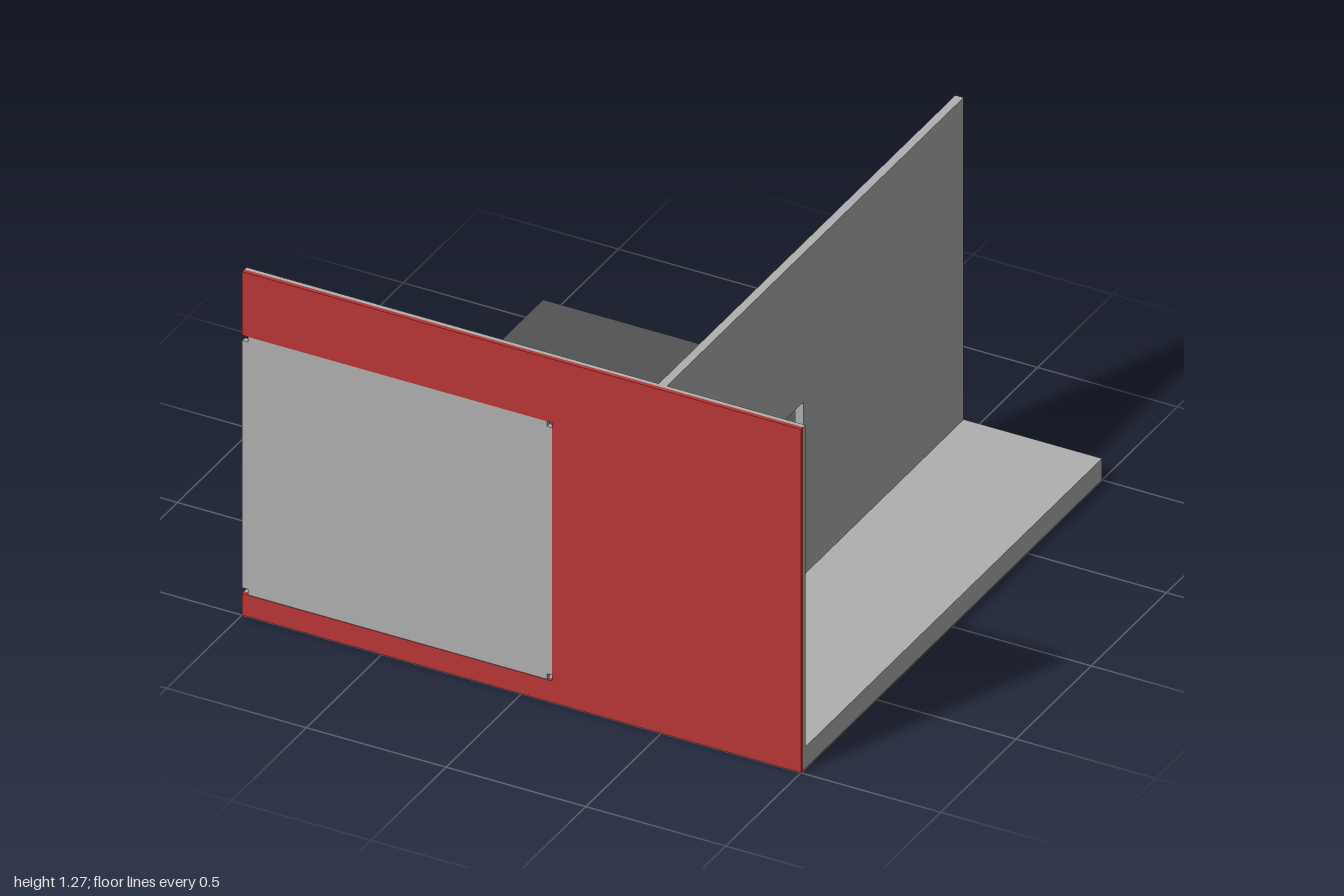
import * as THREE from 'three';

const material = (name, color) => {
  const m = new THREE.MeshStandardMaterial({ color });
  m.name = name;
  return m;
};

const outline = (points) => new THREE.Shape(points.map(([x, y]) => new THREE.Vector2(x, y)));
const rect = (x0, y0, x1, y1) => outline([[x0, y0], [x1, y0], [x1, y1], [x0, y1]]);

// Closed path through the points with softened corners
function roundedPath(points, r) {
  const path = new THREE.Path();
  const pts = points.map(([x, y]) => new THREE.Vector2(x, y));
  pts.forEach((p, i) => {
    const prev = pts[(i + pts.length - 1) % pts.length];
    const next = pts[(i + 1) % pts.length];
    const a = p.clone().add(prev.clone().sub(p).setLength(r));
    const b = p.clone().add(next.clone().sub(p).setLength(r));
    if (i === 0) path.moveTo(a.x, a.y);
    else path.lineTo(a.x, a.y);
    path.quadraticCurveTo(p.x, p.y, b.x, b.y);
  });
  path.closePath();
  return path;
}

const extrude = (shape, depth) =>
  new THREE.ExtrudeGeometry(shape, { depth, bevelEnabled: false, curveSegments: 4 });

export function createModel() {
  const group = new THREE.Group();
  const grey = material('concrete grey', 0xb0b0b0);
  const dark = material('asphalt grey', 0x535353);
  const red = material('facade red', 0xba3636);

  const add = (name, geometry, mat) => {
    const mesh = new THREE.Mesh(geometry, mat);
    mesh.name = name;
    group.add(mesh);
  };

  const floorY = 0.08, top = 1.27, wallZ = 0.97, skinZ = 0.985;
  const gate = { x0: -1, x1: 0.11, y0: 0.08, y1: 1.035 };

  // Base slab
  const slab = new THREE.BoxGeometry(2, floorY, 1 + skinZ);
  slab.translate(0, floorY / 2, (skinZ - 1) / 2);
  add('floorSlab', slab, grey);

  // Front wall: grey backing and red facade, both open at the gate
  const frontShape = (bottom) => outline([
    [-1, bottom], [1, bottom], [1, top], [-1, top],
    [-1, gate.y1], [gate.x1, gate.y1], [gate.x1, gate.y0], [-1, gate.y0],
  ]);
  const backing = outline([
    [gate.x1, floorY], [1, floorY], [1, top], [-1, top], [-1, gate.y1], [gate.x1, gate.y1],
  ]);
  add('frontWallBacking', extrude(backing, skinZ - wallZ).translate(0, 0, wallZ), grey);
  add('frontFacade', extrude(frontShape(0), 1 - skinZ).translate(0, 0, skinZ), red);

  // Gate panel with small square notches at its corners
  const n = 0.02, { x0, x1, y0, y1 } = gate;
  const panel = outline([
    [x0 + n, y0], [x1 - n, y0], [x1 - n, y0 + n], [x1, y0 + n],
    [x1, y1 - n], [x1 - n, y1 - n], [x1 - n, y1], [x0 + n, y1],
    [x0 + n, y1 - n], [x0, y1 - n], [x0, y0 + n], [x0 + n, y0 + n],
  ]);
  add('gatePanel', extrude(panel, 0.018).translate(0, 0, 0.98), grey);

  // Side wall with a doorway, drawn along -z and turned into place
  const side = outline([
    [-wallZ, floorY], [-0.545, floorY], [-0.545, 0.72], [-0.065, 0.72],
    [-0.065, floorY], [1, floorY], [1, top], [-wallZ, top],
  ]);
  add('sideWall', extrude(side, 0.03).rotateY(Math.PI / 2).translate(0.475, 0, 0), grey);

  // Thin asphalt lanes, with the light line left between them
  const lane = (name, shape) =>
    add(name, extrude(shape, 0.004).rotateX(-Math.PI / 2).translate(0, floorY, 0), dark);
  const road = rect(-1, -wallZ, 0.11, 1);
  // Direction arrow cut out of the main lane
  road.holes.push(roundedPath([
    [-0.437, 0.245], [-0.61, 0.07], [-0.51, 0.07], [-0.51, -0.14],
    [-0.365, -0.14], [-0.365, 0.07], [-0.265, 0.07],
  ], 0.014));
  lane('mainLane', road);
  lane('sideLane', rect(0.16, -wallZ, 0.475, 1));

  return group;
}
